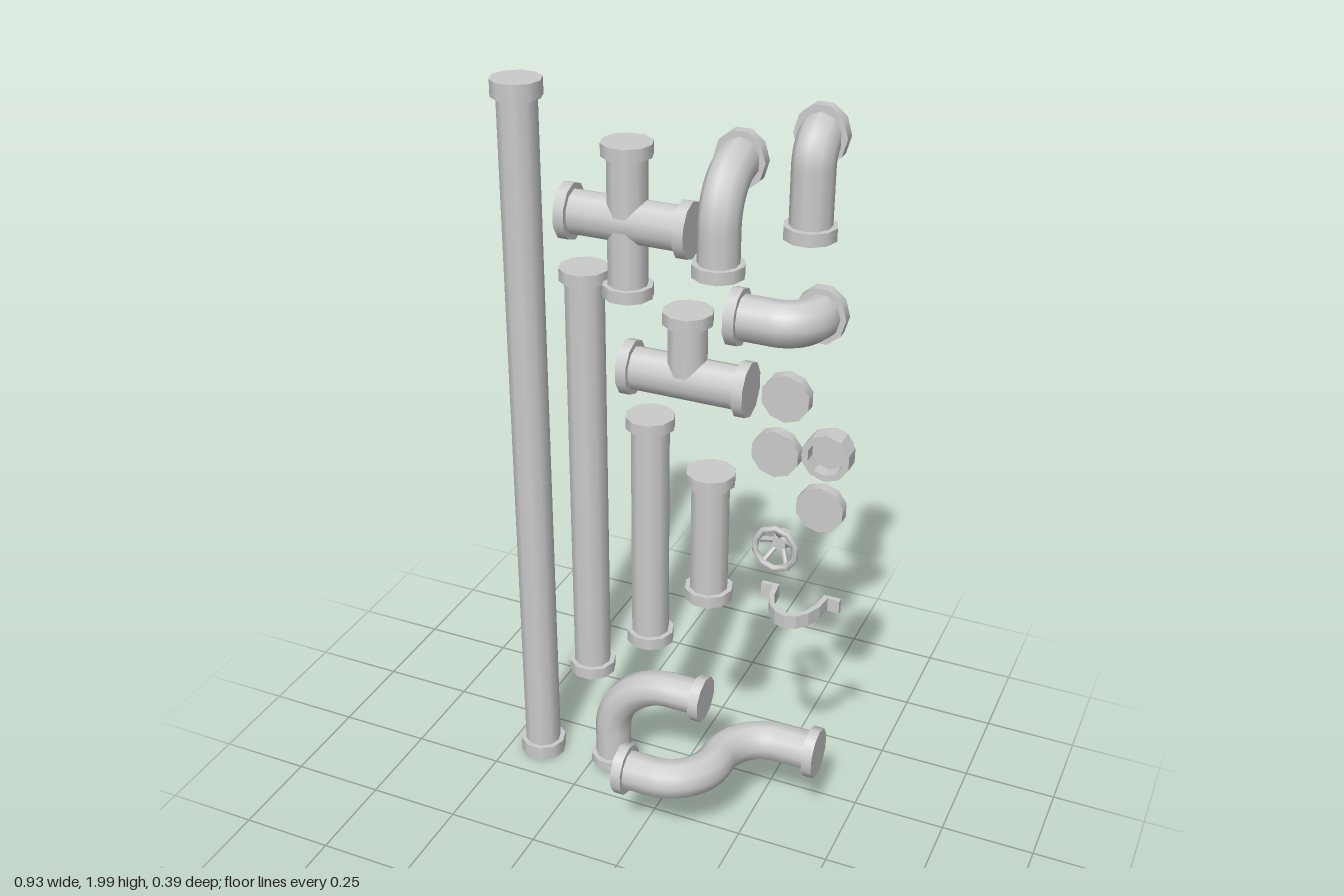
import * as THREE from 'three';

const SIDES = 10, PIPE_R = 0.05, FLANGE_R = 0.0635, FLANGE_T = 0.028;
const V = (x, y, z) => new THREE.Vector3(x, y, z);
const material = new THREE.MeshStandardMaterial({ color: 0xcccccc });
const thin = new THREE.MeshStandardMaterial({ color: 0xcccccc, side: THREE.DoubleSide });

function add(parent, name, geometry, mat = material) {
  const mesh = new THREE.Mesh(geometry, mat);
  mesh.name = name;
  parent.add(mesh);
  return mesh;
}

// Polyline with its inner corners rounded into quarter arcs
function roundedPath(points, radius) {
  const path = new THREE.CurvePath();
  let from = points[0];
  for (let i = 1; i < points.length - 1; i++) {
    const c = points[i];
    const a = c.clone().add(points[i - 1].clone().sub(c).setLength(radius));
    const b = c.clone().add(points[i + 1].clone().sub(c).setLength(radius));
    if (from.distanceTo(a) > 1e-4) path.add(new THREE.LineCurve3(from, a));
    path.add(new THREE.CubicBezierCurve3(a, a.clone().lerp(c, 0.5523), b.clone().lerp(c, 0.5523), b));
    from = b;
  }
  path.add(new THREE.LineCurve3(from, points[points.length - 1]));
  return path;
}

// Collar whose outer face sits at "end", facing along "out"
function flange(parent, end, out, thickness = FLANGE_T) {
  const g = new THREE.CylinderGeometry(FLANGE_R, FLANGE_R, thickness, SIDES).rotateY(Math.PI / 2);
  const mesh = add(parent, 'flange', g);
  mesh.quaternion.setFromUnitVectors(V(0, 1, 0), out);
  mesh.position.copy(end).addScaledVector(out, -thickness / 2);
}

// Pipe along a path with a collar at each end; stretch scales the height
function pipe(parent, name, centre, points, { radius = 0.1, thickness, stretch = 1 } = {}) {
  const group = new THREE.Group();
  group.name = name;
  group.position.copy(centre);
  group.scale.y = stretch;
  parent.add(group);
  const last = points.length - 1;
  if (last === 1) {
    const length = points[0].distanceTo(points[1]);
    const g = new THREE.CylinderGeometry(PIPE_R, PIPE_R, length - 0.01, SIDES, 1, true).rotateY(Math.PI / 2);
    const body = add(group, 'pipeBody', g);
    body.position.copy(points[0]).lerp(points[1], 0.5);
    body.quaternion.setFromUnitVectors(V(0, 1, 0), points[1].clone().sub(points[0]).normalize());
  } else {
    // stop just short of the outer faces, inside the collars
    const inset = points.map((p) => p.clone());
    inset[0].lerp(points[1], 0.03);
    inset[last].lerp(points[last - 1], 0.03);
    add(group, 'pipeBody', new THREE.TubeGeometry(roundedPath(inset, radius), 28, PIPE_R, SIDES, false));
  }
  flange(group, points[0], points[0].clone().sub(points[1]).normalize(), thickness);
  flange(group, points[last], points[last].clone().sub(points[last - 1]).normalize(), thickness);
  return group;
}

export function createModel() {
  const model = new THREE.Group();
  model.name = 'pipeKit';
  const Z = -0.117, BACK = -0.17;

  // Straight pipes: x, bottom, top, collar thickness
  [[-0.406, 0, 1.972, 0.042], [-0.24, 0.338, 1.53, 0.032],
    [-0.065, 0.488, 1.163, 0.032], [0.101, 0.668, 1.04, 0.032]].forEach(([x, lo, hi, thickness]) =>
    pipe(model, 'straightPipe', V(x, 0, Z), [V(0, lo, 0), V(0, hi, 0)], { thickness }));

  // Four-way cross
  const cross = pipe(model, 'crossFitting', V(-0.123, 1.667, Z), [V(-0.167, 0, 0), V(0.167, 0, 0)], { stretch: 1.13 });
  pipe(cross, 'crossUpright', V(0, 0, 0), [V(0, -0.169, 0), V(0, 0.169, 0)]);

  // Tee
  const tee = pipe(model, 'teeFitting', V(0.034, 1.286, Z), [V(-0.166, 0, 0), V(0.166, 0, 0)], { stretch: 1.13 });
  const stem = add(tee, 'teeStem', new THREE.CylinderGeometry(PIPE_R, PIPE_R, 0.15, SIDES, 1, true).rotateY(Math.PI / 2));
  stem.position.y = 0.075;
  flange(tee, V(0, 0.158, 0), V(0, 1, 0));

  // Elbows turning towards the back
  pipe(model, 'wideElbow', V(0.144, 1.842, -0.03),
    [V(0, -0.21, 0), V(0, 0, 0), V(0, 0, BACK + 0.03)], { radius: 0.11, stretch: 1.12 });
  pipe(model, 'tightElbow', V(0.333, 1.925, -0.107),
    [V(0, -0.2, 0), V(0, 0, 0), V(0, 0, BACK + 0.107)], { radius: 0.052, stretch: 1.12 });
  pipe(model, 'sideElbow', V(0.355, 1.497, -0.066),
    [V(-0.19, 0, 0), V(0, 0, 0), V(0, 0, BACK + 0.066)], { radius: 0.085, stretch: 1.13 });

  // Long quarter bend and S-bend
  pipe(model, 'quarterBend', V(-0.18, 0.328, Z),
    [V(0, -0.294, 0), V(0, 0, 0), V(0.278, 0, 0)], { radius: 0.18 });
  pipe(model, 'sBend', V(0.18, 0.235, 0),
    [V(-0.222, 0, 0.133), V(0, 0, 0.133), V(0, 0, -0.135), V(0.24, 0, -0.135)], { radius: 0.13, stretch: 1.13 });

  // Flat end caps
  [[0.28, 1.268], [0.259, 1.112], [0.381, 0.982]].forEach(([x, y]) => {
    const cap = add(model, 'endCap', new THREE.CylinderGeometry(0.063, 0.063, 0.03, SIDES).rotateX(Math.PI / 2));
    cap.position.set(x, y, -0.153);
  });

  // Hollow plug: narrow neck at the back, wide rim in front
  const plugProfile = [[0, 0], [0.046, 0], [0.046, 0.033], [0.062, 0.033], [0.062, 0.08], [0.046, 0.08], [0.046, 0.045], [0, 0.045]];
  const plugGeo = new THREE.LatheGeometry(plugProfile.map(([r, h]) => new THREE.Vector2(r, h)), SIDES).rotateX(Math.PI / 2);
  const plugMat = thin.clone();
  plugMat.flatShading = true;
  add(model, 'plug', plugGeo, plugMat).position.set(0.404, 1.157, BACK);

  // Valve wheel: rim in front, spokes running back to the hub
  const wheel = new THREE.Group();
  wheel.name = 'valveWheel';
  wheel.position.set(0.28, 0.86, BACK);
  wheel.scale.y = 1.06;
  model.add(wheel);
  add(wheel, 'wheelRim', new THREE.TorusGeometry(0.055, 0.009, 6, SIDES).rotateZ(Math.PI / 2)).position.z = 0.058;
  add(wheel, 'wheelHub', new THREE.CylinderGeometry(0.018, 0.028, 0.032, SIDES).rotateX(Math.PI / 2)).position.z = 0.016;
  for (let i = 0; i < 5; i++) {
    const a = Math.PI / 2 + (i * Math.PI * 2) / 5, c = Math.cos(a), s = Math.sin(a);
    const line = new THREE.LineCurve3(V(0.012 * c, 0.012 * s, 0.02), V(0.055 * c, 0.055 * s, 0.058));
    add(wheel, 'wheelSpoke', new THREE.TubeGeometry(line, 1, 0.007, 5, false));
  }

  // Wall clamp: a bowed strap with two flat ears at the back
  const strap = new THREE.Shape();
  const arc = (rx, rz, i) => [-rx * Math.cos((i * Math.PI) / 8), 0.01 + rz * Math.sin((i * Math.PI) / 8)];
  strap.moveTo(-0.106, 0);
  strap.lineTo(-0.106, 0.014);
  for (let i = 0; i <= 8; i++) strap.lineTo(...arc(0.074, 0.12, i));
  strap.lineTo(0.106, 0.014);
  strap.lineTo(0.106, 0);
  strap.lineTo(0.06, 0);
  for (let i = 8; i >= 0; i--) strap.lineTo(...arc(0.06, 0.105, i));
  strap.lineTo(-0.06, 0);
  const strapGeo = new THREE.ExtrudeGeometry(strap, { depth: 0.038, bevelEnabled: false }).rotateX(Math.PI / 2);
  add(model, 'wallClamp', strapGeo).position.set(0.338, 0.72, -0.167);

  return model;
}
